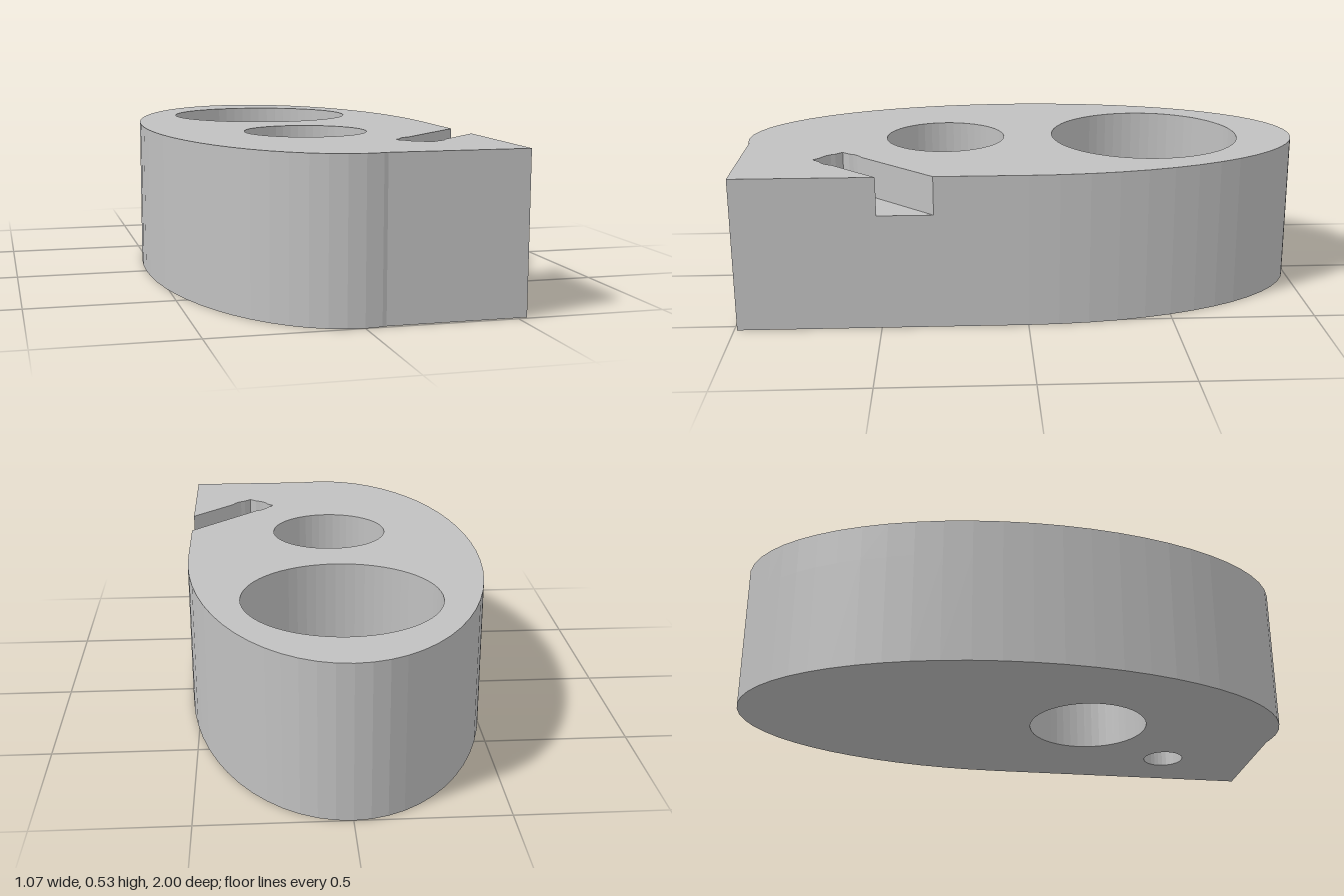
import * as THREE from 'three';

const H = 0.533, HALF = 0.533;      // height, half width
const SLOT_Y = 0.4, POCKET_Y = 0.08; // floors of the slot and the blind pocket
const RAD = Math.PI / 180;

// All plan points are (x, z)
const P = (x, z) => new THREE.Vector2(x, z);

const circle = (cx, cz, r, n) => Array.from({ length: n }, (_, i) => {
  const t = (i / n) * Math.PI * 2;
  return P(cx + r * Math.cos(t), cz + r * Math.sin(t));
});

// Vertical wall following a closed plan outline
function wall(pts, y0, y1) {
  const v = [];
  pts.forEach((a, i) => {
    const b = pts[(i + 1) % pts.length];
    v.push(a.x, y0, a.y, b.x, y0, b.y, b.x, y1, b.y);
    v.push(a.x, y0, a.y, b.x, y1, b.y, a.x, y1, a.y);
  });
  const g = new THREE.BufferGeometry();
  g.setAttribute('position', new THREE.Float32BufferAttribute(v, 3));
  g.computeVertexNormals();
  return g;
}

// Horizontal face, optionally with holes, looking up or down
function cap(pts, holes, y, down = false) {
  const flip = (list) => list.map((p) => P(p.x, -p.y));
  const shape = new THREE.Shape(flip(pts));
  holes.forEach((h) => shape.holes.push(new THREE.Path(flip(h))));
  const g = new THREE.ShapeGeometry(shape).rotateX(-Math.PI / 2).translate(0, y, 0);
  if (down) {
    g.index.array.reverse();
    g.computeVertexNormals();
  }
  return g;
}

export function createModel() {
  const model = new THREE.Group();
  const grey = new THREE.MeshStandardMaterial({ color: 0xc0c0c0, flatShading: true });
  grey.name = 'plain grey';
  const add = (name, geometry) => {
    const mesh = new THREE.Mesh(geometry, grey);
    mesh.name = name;
    model.add(mesh);
  };

  // Round holes
  const pocket = circle(0, -0.455, 0.342, 60);
  const bore = circle(0, 0.28, 0.215, 48);
  const cx = 0.305, cz = 0.64, r = 0.075, w = 0.067;
  const pin = circle(cx, cz, r, 30);

  // Diagonal slot: u runs towards the side face, v across the slot
  const slotPoint = (u, v) => P(cx + (u + v) * Math.SQRT1_2, cz + (v - u) * Math.SQRT1_2);
  const slotExit = (v) => slotPoint((HALF - cx) * Math.SQRT2 - v, v);
  const slotArc = (from, to, n) => Array.from({ length: n + 1 }, (_, i) => {
    const t = (from + ((to - from) * i) / n) * RAD;
    return slotPoint(r * Math.cos(t), r * Math.sin(t));
  });
  const a = Math.acos(w / r) / RAD; // half angle where the pin hole bulges past the slot
  const notch = [
    slotExit(w), ...slotArc(90 - a, 90 + a, 4),
    slotPoint(-w, w), ...slotArc(180 - a, 180 + a, 4),
    slotPoint(-w, -w), ...slotArc(270 - a, 270 + a, 4), slotExit(-w),
  ];

  // Elliptical outline with one squared front corner
  const ellipse = [];
  for (let d = 0; d <= 276; d += 6) {
    ellipse.push(P(HALF * Math.cos(d * RAD), -Math.sin(d * RAD)));
  }
  const corner = [P(0.07, 0.99), P(HALF, 0.99)];
  const outline = [...corner, ...ellipse];
  const notched = [...corner, ...notch, ...ellipse];

  // Body
  add('lowerWall', wall(outline, 0, SLOT_Y));
  add('upperWallWithSlot', wall(notched, SLOT_Y, H));
  add('topFace', cap(notched, [pocket, bore], H));
  add('bottomFace', cap(outline, [bore, pin], 0, true));

  // Blind pocket and through holes
  add('pocketWall', wall(pocket, POCKET_Y, H));
  add('pocketFloor', cap(pocket, [], POCKET_Y));
  add('boreWall', wall(bore, 0, H));
  add('pinHoleWall', wall(pin, 0, SLOT_Y));

  // Slot floor around the pin hole
  add('slotFloor', cap([slotExit(w), ...slotArc(90 - a, a - 90, 14), slotExit(-w)], [], SLOT_Y));
  add('slotCornerFront', cap([slotPoint(-w, w), ...slotArc(90 + a, 180 - a, 5)], [], SLOT_Y));
  add('slotCornerBack', cap([slotPoint(-w, -w), ...slotArc(180 + a, 270 - a, 5)], [], SLOT_Y));

  return model;
}
